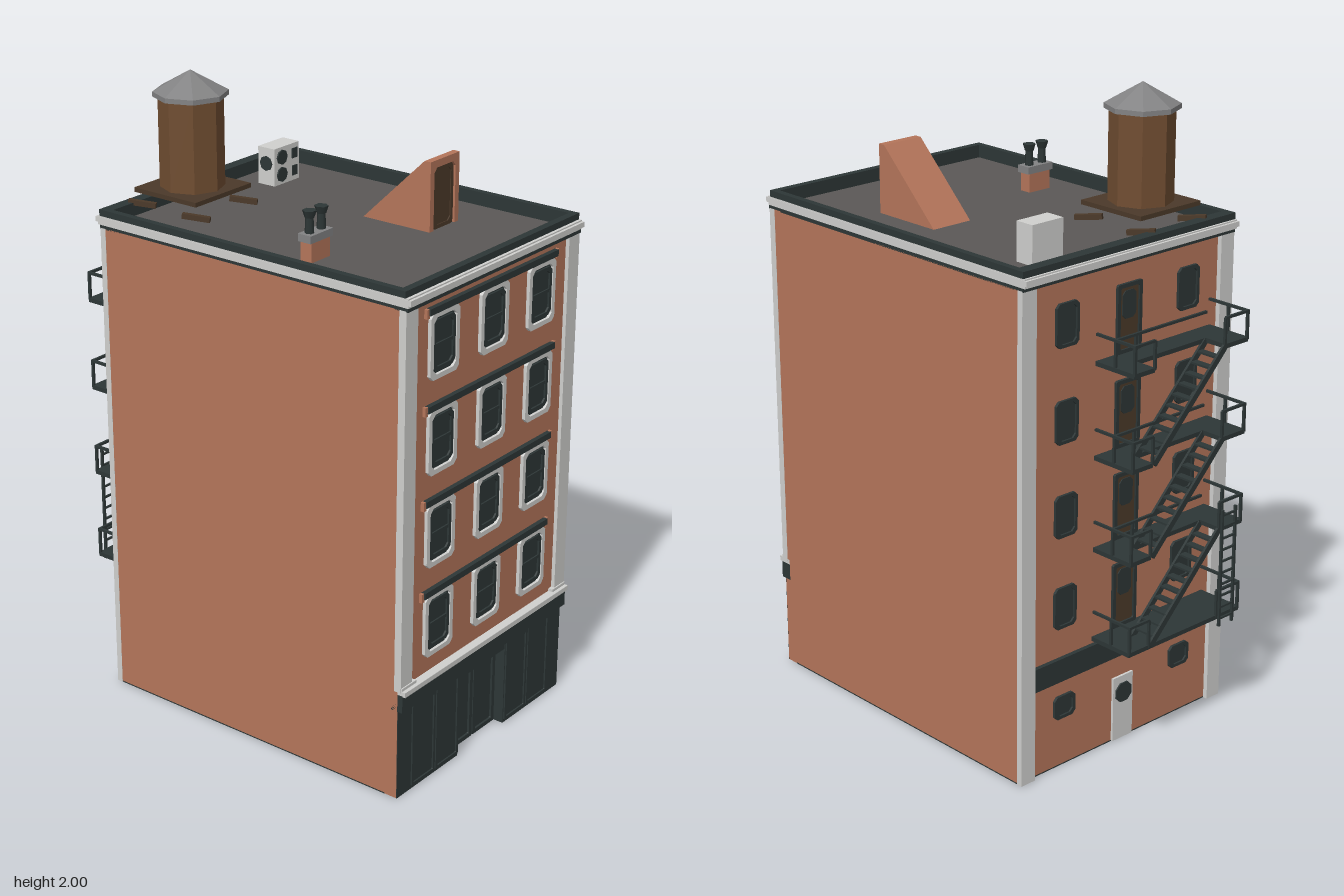
import * as THREE from 'three';

export function createModel() {
  const mat = (name, color, side = THREE.FrontSide) => {
    const m = new THREE.MeshStandardMaterial({ color, side });
    m.name = name;
    return m;
  };
  const brick = mat('brick', 0xb4755a), light = mat('paleStone', 0xcfcfcd), dark = mat('darkIron', 0x2d3636);
  const roofGrey = mat('roofFelt', 0x5b5856), zinc = mat('zinc', 0x828283);
  const wood = mat('tankWood', 0x704d31), darkWood = mat('darkWood', 0x4b3929);

  const model = new THREE.Group();
  model.name = 'apartmentBuilding';
  const add = (parent, name, geo, m, x = 0, y = 0, z = 0) => {
    const mesh = new THREE.Mesh(geo, m);
    mesh.name = name;
    mesh.position.set(x, y, z);
    parent.add(mesh);
    return mesh;
  };
  const group = (name, parent = model) => {
    const g = new THREE.Group();
    g.name = name;
    parent.add(g);
    return g;
  };
  // Box given by its limits on each axis
  const block = (p, name, m, x0, x1, y0, y1, z0, z1) =>
    add(p, name, new THREE.BoxGeometry(x1 - x0, y1 - y0, z1 - z0), m, (x0 + x1) / 2, (y0 + y1) / 2, (z0 + z1) / 2);
  // Square bar between two points
  const bar = (p, name, m, a, b, t = 0.008, w = t) => {
    const A = new THREE.Vector3(...a), B = new THREE.Vector3(...b);
    const mesh = add(p, name, new THREE.BoxGeometry(t, w, A.distanceTo(B)), m);
    mesh.position.copy(A).add(B).multiplyScalar(0.5);
    mesh.lookAt(B);
    return mesh;
  };
  const outline = (Type, w, h, c) => new Type([[-w / 2 + c, -h / 2], [w / 2 - c, -h / 2], [w / 2, -h / 2 + c], [w / 2, h / 2 - c],
    [w / 2 - c, h / 2], [-w / 2 + c, h / 2], [-w / 2, h / 2 - c], [-w / 2, -h / 2 + c]].map(q => new THREE.Vector2(...q)));
  // Plate with cut corners, optionally with an opening
  const plate = (w, h, c, depth, border = 0) => {
    const s = outline(THREE.Shape, w, h, c);
    if (border) s.holes.push(outline(THREE.Path, w - 2 * border, h - 2 * border, c));
    return new THREE.ExtrudeGeometry(s, { depth, bevelEnabled: false });
  };

  // Walls
  const walls = group('walls');
  block(walls, 'groundSlab', dark, -0.43, 0.43, 0, 0.004, -0.485, 0.58);
  block(walls, 'mainBody', brick, -0.43, 0.43, 0.004, 1.54, -0.485, 0.58);
  block(walls, 'frontWall', brick, -0.43, 0.43, 0.3, 1.54, 0.58, 0.622);
  for (const s of [-1, 1]) {
    const x = s * 0.415, c = s * 0.403;
    block(walls, 'sideWallEnd', brick, x - 0.015, x + 0.015, 0.001, 0.3, 0.58, 0.622);
    block(walls, 'frontPilaster', light, c - 0.0275, c + 0.0275, 0.36, 1.54, 0.61, 0.634);
    block(walls, 'backPilaster', light, c - 0.0275, c + 0.0275, 0, 1.54, -0.5, -0.48);
    block(walls, 'pilasterFoot', light, s * 0.395 - 0.035, s * 0.395 + 0.035, 0.36, 0.375, 0.62, 0.638);
  }

  // Shop front with recessed double door
  const shop = group('shopFront');
  for (const s of [-1, 1]) {
    block(shop, 'shopBay', dark, Math.min(s * 0.122, s * 0.429), Math.max(s * 0.122, s * 0.429), 0, 0.3, 0.575, 0.624);
    for (const x of [0.183, 0.303]) add(shop, 'shopWindowFrame', plate(0.115, 0.275, 0.002, 0.006, 0.009), dark, s * x, 0.148, 0.623);
    add(shop, 'doorLeaf', plate(0.115, 0.255, 0.002, 0.008, 0.014), dark, s * 0.06, 0.13, 0.585);
  }
  block(shop, 'doorBack', dark, -0.122, 0.122, 0, 0.3, 0.575, 0.586);
  block(shop, 'doorHeader', dark, -0.122, 0.122, 0.262, 0.3, 0.58, 0.622);
  block(shop, 'signBand', dark, -0.43, 0.43, 0.295, 0.352, 0.6, 0.64);
  block(shop, 'shopCornice', light, -0.43, 0.43, 0.35, 0.366, 0.6, 0.65);

  // Front windows
  for (let r = 0; r < 4; r++) {
    const y = 1.395 - 0.2917 * r, row = group('frontWindowRow');
    for (const x of [-0.244, 0, 0.242]) {
      add(row, 'windowSurround', plate(0.137, 0.2, 0.014, 0.012, 0.015), light, x, y, 0.621);
      add(row, 'windowGlass', plate(0.112, 0.175, 0.012, 0.003), dark, x, y, 0.621);
      add(row, 'windowSash', plate(0.106, 0.152, 0.012, 0.008, 0.011), dark, x, y, 0.622);
      block(row, 'sashRail', dark, x - 0.045, x + 0.045, y - 0.005, y + 0.005, 0.622, 0.629);
    }
    block(row, 'lintelBand', dark, -0.322, 0.315, y + 0.1, y + 0.12, 0.62, 0.637);
    for (const x of [-0.326, 0.319]) block(row, 'lintelEnd', brick, x - 0.006, x + 0.006, y + 0.092, y + 0.12, 0.62, 0.633);
  }

  // Cornice, parapet and roof
  const top = group('roof');
  block(top, 'roofDeck', roofGrey, -0.42, 0.42, 1.535, 1.555, -0.48, 0.61);
  const ring = (name, m, x, xi, y0, y1, z0, z0i, z1i, z1) => {
    block(top, name, m, -x, x, y0, y1, z0, z0i);
    block(top, name, m, -x, x, y0, y1, z1i, z1);
    block(top, name, m, -x, -xi, y0, y1, z0i, z1i);
    block(top, name, m, xi, x, y0, y1, z0i, z1i);
  };
  ring('lowerBand', dark, 0.43, 0.41, 1.537, 1.549, -0.502, -0.465, 0.605, 0.638);
  ring('corniceBand', light, 0.43, 0.415, 1.549, 1.577, -0.51, -0.47, 0.61, 0.64);
  ring('corniceLip', light, 0.431, 0.415, 1.557, 1.573, -0.518, -0.47, 0.61, 0.649);
  ring('parapet', dark, 0.43, 0.409, 1.577, 1.597, -0.503, -0.465, 0.606, 0.63);
  ring('parapetLining', dark, 0.425, 0.409, 1.55, 1.58, -0.49, -0.465, 0.606, 0.62);

  // Water tank
  const tank = group('waterTank');
  tank.position.set(-0.195, 0, -0.339);
  const oct = (name, m, r0, r1, y0, y1) => {
    const g = new THREE.CylinderGeometry(r1, r0, y1 - y0, 8).toNonIndexed();
    g.computeVertexNormals();
    return add(tank, name, g, m, 0, (y0 + y1) / 2, 0);
  };
  oct('tankBarrel', wood, 0.098, 0.098, 1.645, 1.93);
  oct('tankEave', zinc, 0.113, 0.113, 1.922, 1.937);
  oct('tankRoof', zinc, 0.113, 0.001, 1.937, 2);
  block(tank, 'tankPlatform', darkWood, -0.125, 0.125, 1.632, 1.646, -0.122, 0.122);
  for (const x of [-1, 1]) for (const z of [-1, 1])
    bar(tank, 'tankLeg', darkWood, [x * 0.1, 1.635, z * 0.1], [x * 0.115, 1.553, z * 0.115], 0.016);

  // Stair bulkhead: sloped sides, back ramp and door
  const hut = group('stairBulkhead');
  const profile = new THREE.Shape([[-0.31, 1.55], [-0.31, 1.77], [-0.297, 1.77], [-0.075, 1.555], [-0.075, 1.55]].map(q => new THREE.Vector2(...q)));
  const side = add(hut, 'bulkheadBody', new THREE.ExtrudeGeometry(profile, { depth: 0.144, bevelEnabled: false }), brick, 0.106, 0, 0);
  side.rotation.y = Math.PI / 2;
  const jamb = new THREE.Shape([[-0.072, 0], [-0.053, 0], [-0.053, 0.18], [-0.04, 0.195], [0.04, 0.195], [0.053, 0.18],
    [0.053, 0], [0.072, 0], [0.072, 0.218], [-0.072, 0.218]].map(q => new THREE.Vector2(...q)));
  add(hut, 'doorSurround', new THREE.ExtrudeGeometry(jamb, { depth: 0.012, bevelEnabled: false }), brick, 0.178, 1.552, 0.308);
  block(hut, 'roofDoor', darkWood, 0.122, 0.234, 1.555, 1.75, 0.308, 0.312);
  add(hut, 'roofDoorFrame', plate(0.1, 0.19, 0.012, 0.004, 0.012), darkWood, 0.178, 1.65, 0.311);

  // Chimney with two hexagonal pots
  const chimney = group('chimney');
  block(chimney, 'chimneyStack', brick, -0.32, -0.235, 1.55, 1.618, 0.178, 0.217);
  block(chimney, 'chimneyCap', zinc, -0.328, -0.226, 1.615, 1.638, 0.174, 0.221);
  for (const x of [-0.304, -0.25]) {
    add(chimney, 'chimneyPot', new THREE.CylinderGeometry(0.012, 0.014, 0.05, 6), dark, x, 1.66, 0.197).rotation.y = Math.PI / 6;
    add(chimney, 'potRim', new THREE.CylinderGeometry(0.021, 0.014, 0.022, 6), dark, x, 1.695, 0.197).rotation.y = Math.PI / 6;
  }

  // Rooftop cooling unit
  const unit = group('coolingUnit');
  block(unit, 'unitCase', light, 0.165, 0.285, 1.555, 1.675, -0.385, -0.32);
  for (const y of [1.587, 1.643]) {
    add(unit, 'unitFan', new THREE.CylinderGeometry(0.024, 0.024, 0.006, 8), dark, 0.2, y, -0.318).rotation.x = Math.PI / 2;
    block(unit, 'unitGrille', dark, 0.25, 0.275, y - 0.016, y + 0.016, -0.321, -0.317);
  }
  add(unit, 'unitSideFan', new THREE.CylinderGeometry(0.024, 0.024, 0.006, 8), dark, 0.164, 1.625, -0.352).rotation.z = Math.PI / 2;

  // Back windows and doors
  const back = group('backWall');
  const backWindow = (x, y, w, h) => {
    add(back, 'backGlass', plate(w, h, 0.012, 0.004), dark, x, y, -0.488);
    add(back, 'backSash', plate(w, h, 0.012, 0.01, 0.01), dark, x, y, -0.494);
  };
  for (let r = 0; r < 4; r++) {
    const y = 1.402 - 0.2917 * r;
    for (const x of [-0.247, 0.247]) backWindow(x, y, 0.088, 0.132);
    add(back, 'escapeDoor', plate(0.085, 0.2, 0.004, 0.004), darkWood, 0, y - 0.035, -0.488);
    add(back, 'escapeDoorFrame', plate(0.1, 0.21, 0.004, 0.01, 0.012), dark, 0, y - 0.035, -0.494);
    add(back, 'escapeDoorPane', plate(0.055, 0.085, 0.012, 0.004), dark, 0, y + 0.005, -0.491);
  }
  for (const x of [-0.247, 0.247]) backWindow(x, 0.2, 0.085, 0.075);
  block(back, 'backDoor', light, -0.042, 0.042, 0.003, 0.215, -0.493, -0.484);
  add(back, 'backDoorPane', plate(0.066, 0.062, 0.018, 0.006), dark, 0, 0.16, -0.498);
  block(back, 'backBand', dark, -0.376, 0.376, 0.29, 0.365, -0.499, -0.48);

  // Fire escape: landings, railings and flights
  const escape = group('fireEscape');
  const X0 = -0.35, X1 = 0.13, ZI = -0.562, ZO = -0.638, H = 0.088;
  for (let f = 0; f < 4; f++) {
    const y = 0.38 + 0.2917 * f, landing = group('landing', escape);
    block(landing, 'landingWalk', dark, X0, X1, y - 0.007, y + 0.007, ZI, -0.484);
    if (f === 0) block(landing, 'landingFloor', dark, X0, X1, y - 0.007, y + 0.007, ZO - 0.002, ZI);
    else {
      block(landing, 'landingEnd', dark, X0, -0.25, y - 0.007, y + 0.007, ZO - 0.002, ZI);
      block(landing, 'landingEnd', dark, 0.045, X1, y - 0.007, y + 0.007, ZO - 0.002, ZI);
    }
    const t = y + H;
    for (const x of [X0 + 0.004, X1 - 0.004]) {
      bar(landing, 'endRail', dark, [x, t, -0.486], [x, t, ZO]);
      for (const z of [ZO, ZI]) bar(landing, 'railPost', dark, [x, y, z], [x, t, z]);
    }
    for (const [a, b] of [[X0, -0.25], [0.045, X1]]) bar(landing, 'outerRail', dark, [a, t, ZO], [b, t, ZO]);
    for (const x of [-0.25, 0.045]) bar(landing, 'railPost', dark, [x, y, ZO], [x, t, ZO]);
    if (f > 0) {
      bar(landing, 'innerRail', dark, [-0.25, t, ZI], [X1, t, ZI]);
      bar(landing, 'railPost', dark, [0.045, y, ZI], [0.045, t, ZI]);
    }
    if (f === 3) continue;
    const flight = group('flight', escape), n = 11;
    for (const z of [ZI, ZO]) bar(flight, 'stringer', dark, [0.04, y, z], [-0.25, y + 0.2917, z], 0.008, 0.02);
    for (let i = 1; i < n; i++) {
      const x = 0.04 - 0.29 * i / n, ty = y + 0.2917 * i / n;
      block(flight, 'tread', dark, x - 0.012, x + 0.012, ty - 0.003, ty + 0.003, ZO, ZI);
    }
  }

  // Drop ladder
  const ladder = group('dropLadder', escape);
  for (const x of [-0.315, -0.257]) bar(ladder, 'ladderSide', dark, [x, 0.35, -0.645], [x, 0.735, -0.645]);
  for (let i = 0; i < 10; i++) bar(ladder, 'ladderRung', dark, [-0.315, 0.375 + i * 0.038, -0.645], [-0.257, 0.375 + i * 0.038, -0.645], 0.006);

  return model;
}
